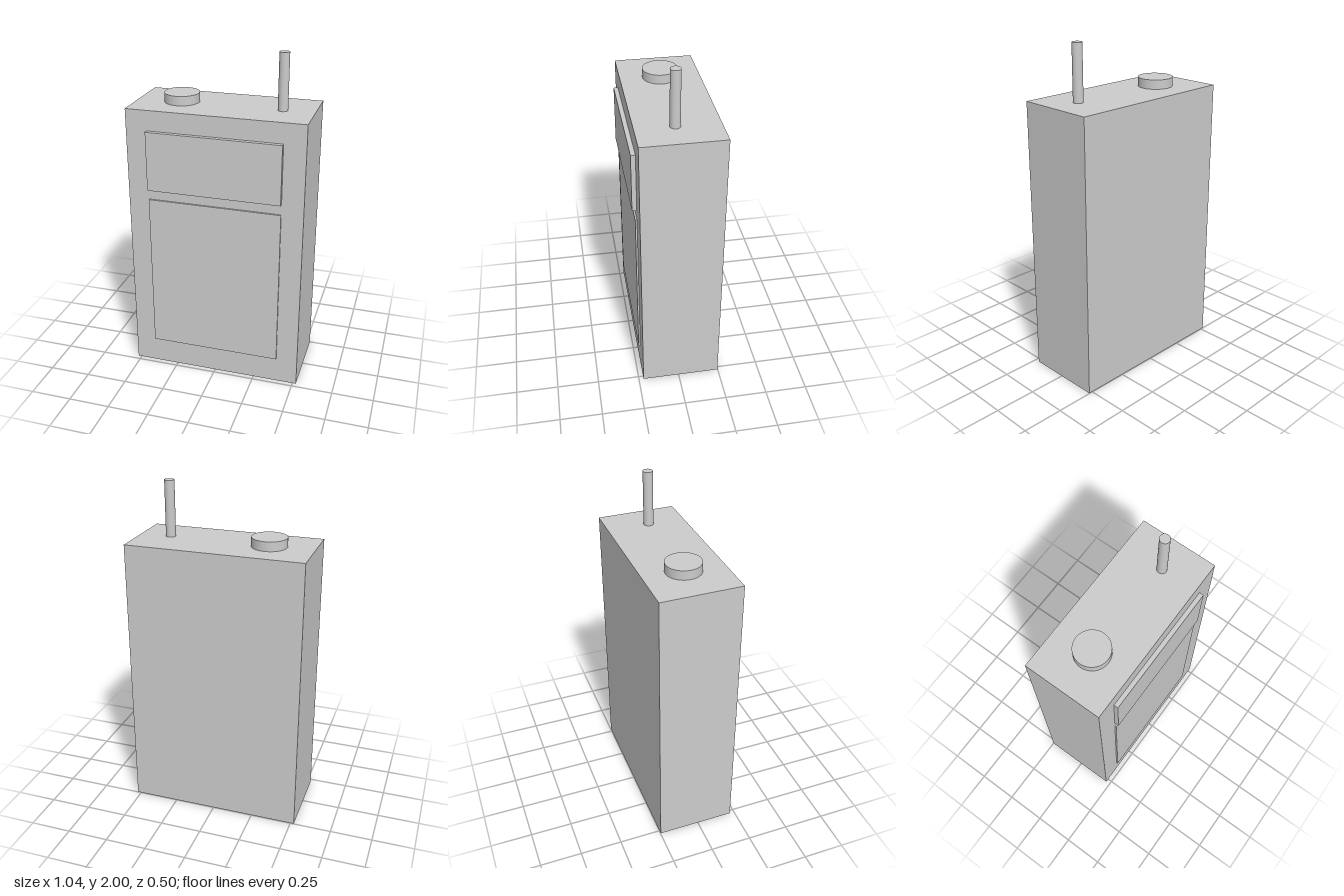
import * as THREE from 'three';

export function createModel() {
  const group = new THREE.Group();
  const material = new THREE.MeshStandardMaterial({ color: 0xcccccc });

  const add = (name, geometry, x, y, z) => {
    const mesh = new THREE.Mesh(geometry, material);
    mesh.name = name;
    mesh.position.set(x, y, z);
    group.add(mesh);
  };
  // Box given by its lower and upper corners
  const box = (name, [x0, y0, z0], [x1, y1, z1]) =>
    add(name, new THREE.BoxGeometry(x1 - x0, y1 - y0, z1 - z0),
      (x0 + x1) / 2, (y0 + y1) / 2, (z0 + z1) / 2);
  // Upright cylinder between two heights
  const post = (name, radius, x, z, y0, y1) =>
    add(name, new THREE.CylinderGeometry(radius, radius, y1 - y0, 48), x, (y0 + y1) / 2, z);

  const top = 1.672, front = 0.221;

  // Case
  box('body', [-0.522, 0, -0.248], [0.522, top, front]);

  // Raised plates on the front
  box('screen', [-0.397, 1.197, front - 0.01], [0.394, 1.552, 0.247]);
  box('frontPanel', [-0.397, 0.163, front - 0.01], [0.394, 1.133, 0.231]);

  // Controls on the top
  post('knob', 0.103, -0.261, -0.014, top - 0.01, 1.727);
  post('antenna', 0.029, 0.338, 0.002, top - 0.01, 2);

  return group;
}
